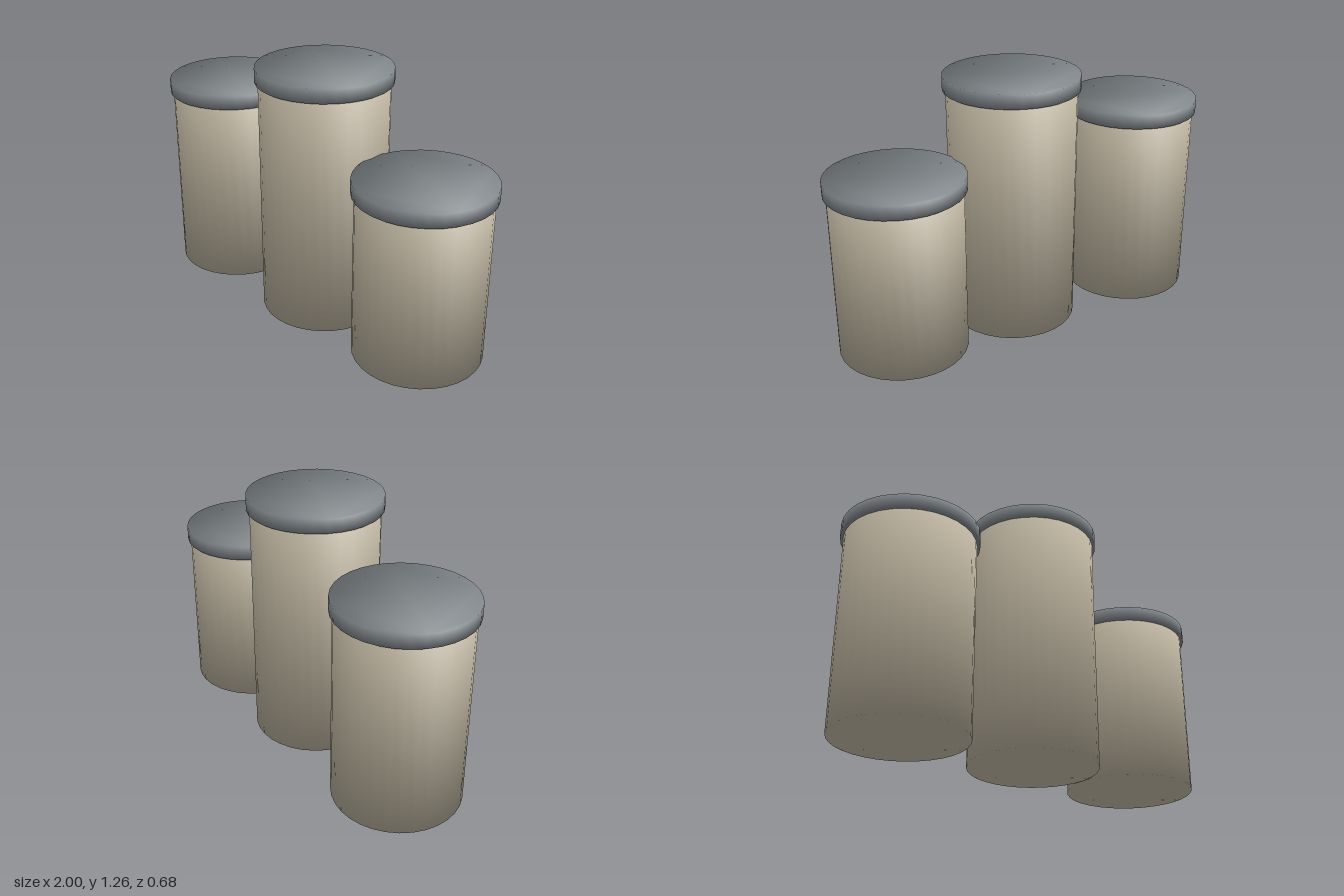
import * as THREE from 'three';

const SEGMENTS = 32;

// Solid disc or cylinder standing on y = 0, with normals blended softly over its rims
function softCylinder(radius, height) {
  const circle = new THREE.Shape();
  for (let i = 0; i < SEGMENTS; i++) {
    const a = (i / SEGMENTS) * Math.PI * 2;
    const x = Math.cos(a) * radius, y = Math.sin(a) * radius;
    if (i === 0) circle.moveTo(x, y);
    else circle.lineTo(x, y);
  }
  circle.closePath();
  const geometry = new THREE.ExtrudeGeometry(circle, { depth: height, bevelEnabled: false });
  geometry.rotateX(-Math.PI / 2);

  // Every rim normal leans 45 degrees outward, up at the top and down at the bottom
  const position = geometry.attributes.position;
  const normal = new THREE.Vector3();
  for (let i = 0; i < position.count; i++) {
    normal.set(position.getX(i) / radius, position.getY(i) > height / 2 ? 1 : -1, position.getZ(i) / radius);
    normal.normalize();
    geometry.attributes.normal.setXYZ(i, normal.x, normal.y, normal.z);
  }
  geometry.clearGroups();
  return geometry;
}

export function createModel() {
  const bodyMaterial = new THREE.MeshStandardMaterial({ color: 0xb8af9b });
  bodyMaterial.name = 'warm beige';
  const lidMaterial = new THREE.MeshStandardMaterial({ color: 0x7f8589 });
  lidMaterial.name = 'slate grey';

  const canisters = [
    { name: 'mediumCanister', x: -0.672, z: 0.013, bodyHeight: 0.96 },
    { name: 'tallCanister', x: 0.043, z: 0.013, bodyHeight: 1.19 },
    { name: 'shortCanister', x: 0.672, z: -0.012, bodyHeight: 0.82 },
  ];
  const lidHeight = 0.068;

  const model = new THREE.Group();
  model.name = 'canisterSet';
  for (const { name, x, z, bodyHeight } of canisters) {
    const canister = new THREE.Group();
    canister.name = name;
    canister.position.set(x, 0, z);

    const body = new THREE.Mesh(softCylinder(0.313, bodyHeight), bodyMaterial);
    body.name = 'body';

    // Lid slightly wider than the body
    const lid = new THREE.Mesh(softCylinder(0.328, lidHeight), lidMaterial);
    lid.name = 'lid';
    lid.position.y = bodyHeight;

    canister.add(body, lid);
    model.add(canister);
  }
  return model;
}
